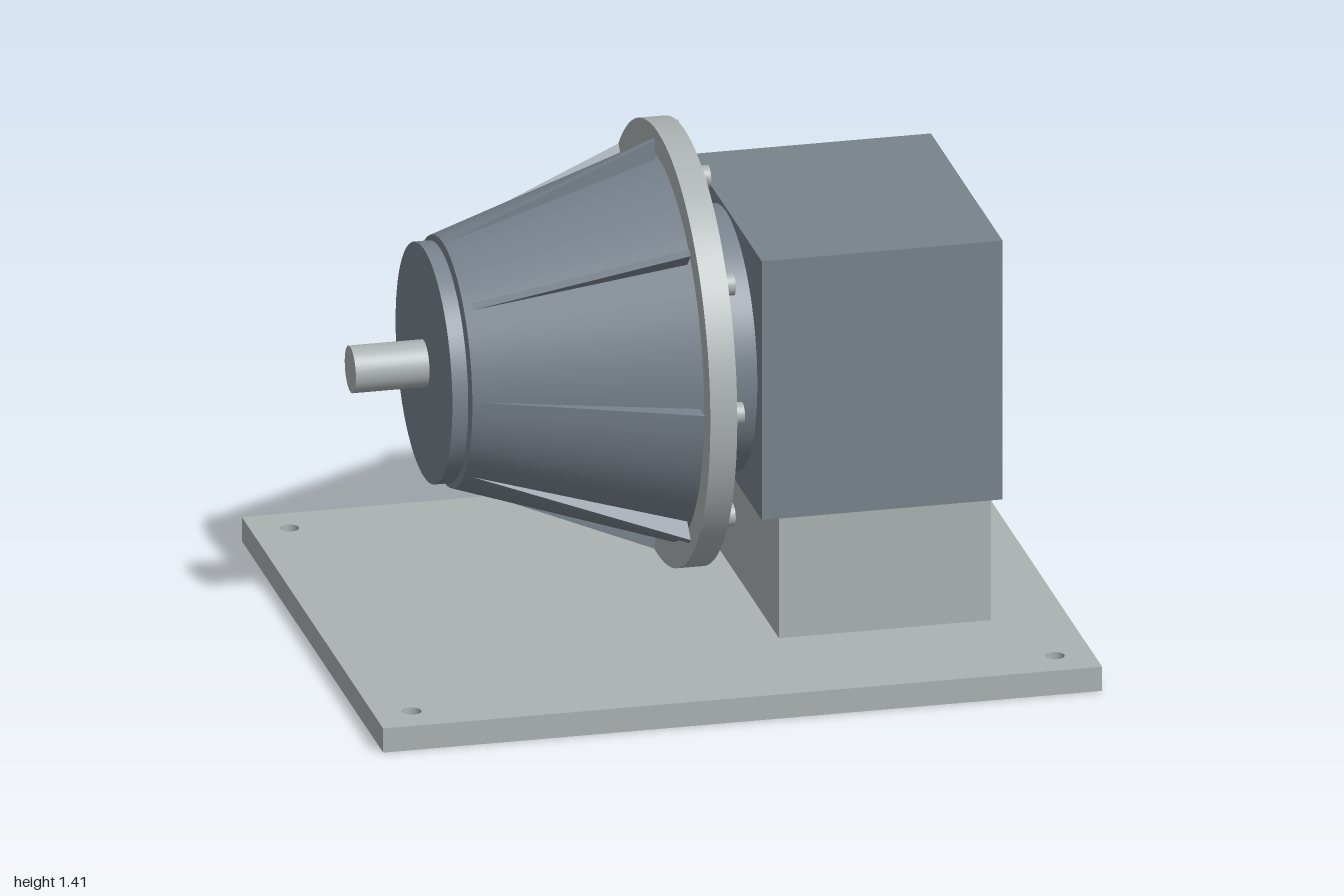
import * as THREE from 'three';
import { toCreasedNormals } from 'three/addons/utils/BufferGeometryUtils.js';

const AXIS_Y = 0.795; // height of the shaft line

function material(name, color) {
  const m = new THREE.MeshStandardMaterial({ color });
  m.name = name;
  return m;
}

export function createModel() {
  const model = new THREE.Group();
  const lightSteel = material('light steel', 0xacb2b3);
  const housingGrey = material('housing grey', 0x78838b);
  const castGrey = material('cast grey', 0x79838e);
  const bearingBlue = material('bearing blue', 0x6695a7);

  const add = (parent, name, geometry, mat) => {
    const mesh = new THREE.Mesh(geometry, mat);
    mesh.name = name;
    parent.add(mesh);
    return mesh;
  };
  const box = (x0, x1, y0, y1, z0, z1) =>
    new THREE.BoxGeometry(x1 - x0, y1 - y0, z1 - z0)
      .translate((x0 + x1) / 2, (y0 + y1) / 2, (z0 + z1) / 2);
  // Cylinder or cone lying along x
  const rod = (x0, x1, r0, r1 = r0, sides = 64) =>
    new THREE.CylinderGeometry(r1, r0, x1 - x0, sides)
      .rotateZ(-Math.PI / 2).translate((x0 + x1) / 2, 0, 0);
  const rectangle = (w, h, Type = THREE.Shape) =>
    new Type([[-w, -h], [w, -h], [w, h], [-w, h]].map(([x, y]) => new THREE.Vector2(x, y)));
  const extrude = (shape, depth) =>
    new THREE.ExtrudeGeometry(shape, { depth, bevelEnabled: false, curveSegments: 32 });

  // Base plate with four mounting holes
  const plate = rectangle(1, 0.82);
  for (const x of [-0.895, 0.895]) for (const z of [-0.71, 0.71]) {
    plate.holes.push(new THREE.Path().absarc(x, z, 0.027, 0, Math.PI * 2, true));
  }
  add(model, 'basePlate', extrude(plate, 0.07).rotateX(-Math.PI / 2), lightSteel);
  add(model, 'pedestal', box(0.2, 0.79, 0.07, 0.42, -0.408, 0.408), lightSteel);

  // Everything on the shaft line
  const drive = new THREE.Group();
  drive.name = 'drive';
  drive.position.y = AXIS_Y;
  model.add(drive);

  // Square housing, open towards +x
  const frame = rectangle(0.416, 0.375);
  frame.holes.push(rectangle(0.382, 0.338, THREE.Path));
  add(drive, 'housingWalls',
    extrude(frame, 0.635).rotateY(Math.PI / 2).translate(0.185, 0, 0), housingGrey);
  add(drive, 'housingBack', box(0.15, 0.185, -0.375, 0.375, -0.416, 0.416), housingGrey);

  // Neck, flange, bell and end cap
  add(drive, 'neck', rod(0.03, 0.15, 0.365), castGrey);
  add(drive, 'flange', rod(-0.04, 0.035, 0.612, 0.612, 96), lightSteel);
  add(drive, 'bell', rod(-0.638, -0.04, 0.345, 0.54, 96), castGrey);
  add(drive, 'endCap', rod(-0.69, -0.646, 0.33), castGrey);

  // Tapered ribs around the bell
  const ribShape = new THREE.Shape(
    [[-0.63, 0.346], [-0.6, 0.32], [-0.05, 0.5], [-0.05, 0.592]]
      .map(([x, y]) => new THREE.Vector2(x, y)));
  const ribGeometry = extrude(ribShape, 0.02).translate(0, 0, -0.01);
  for (let i = 0; i < 8; i++) {
    add(drive, 'rib', ribGeometry, castGrey).rotation.x = i * Math.PI / 4;
  }

  // Flange bolts
  const boltGeometry = rod(0.03, 0.06, 0.031, 0.031, 24);
  for (let i = 0; i < 10; i++) {
    const a = i * Math.PI / 5;
    add(drive, 'bolt', boltGeometry, lightSteel)
      .position.set(0, 0.568 * Math.sin(a), 0.568 * Math.cos(a));
  }

  // Shafts and bearing ring
  add(drive, 'outputShaft', rod(-0.895, -0.6, 0.065, 0.065, 40), lightSteel);
  add(drive, 'innerShaft', rod(0.18, 0.8, 0.077, 0.077, 40), lightSteel);
  const ring = new THREE.Shape().absarc(0, 0, 0.138, 0, Math.PI * 2);
  ring.holes.push(new THREE.Path().absarc(0, 0, 0.077, 0, Math.PI * 2, true));
  add(drive, 'bearingRing',
    toCreasedNormals(extrude(ring, 0.11), 0.6).rotateY(Math.PI / 2).translate(0.763, 0, 0),
    bearingBlue);

  return model;
}
